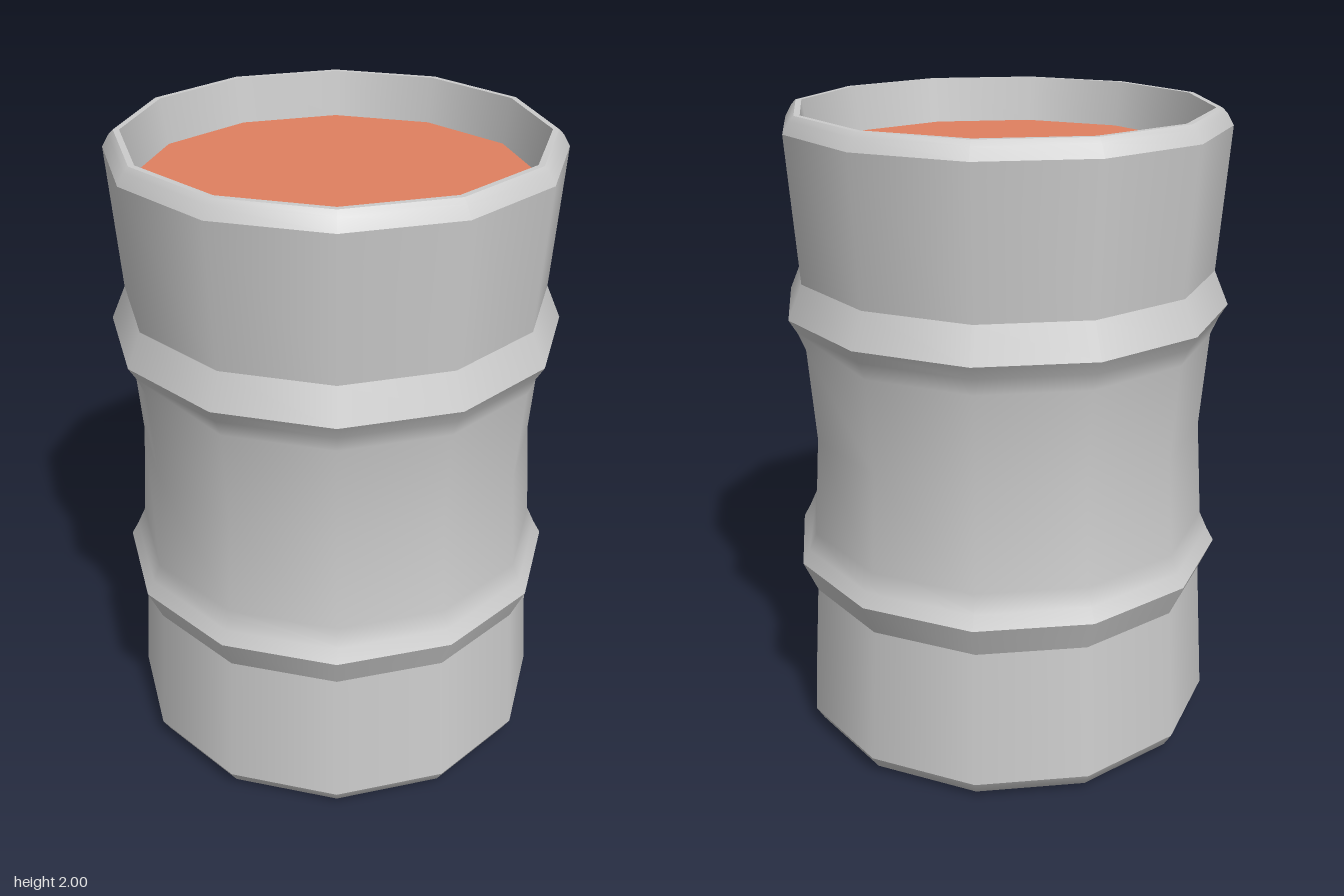
import * as THREE from 'three';
import { mergeGeometries } from 'three/addons/utils/BufferGeometryUtils.js';

const SIDES = 12;

// One smooth band turned from [radius, height] points; separate bands meet at a sharp edge
const band = (points) =>
  new THREE.LatheGeometry(points.map(([r, y]) => new THREE.Vector2(r, y)), SIDES);

export function createModel() {
  const group = new THREE.Group();
  const grey = new THREE.MeshStandardMaterial({ color: 0xcccccc });
  const orange = new THREE.MeshStandardMaterial({ color: 0xe08060 });
  const add = (name, bands, material) => {
    const mesh = new THREE.Mesh(mergeGeometries(bands.map(band)), material);
    mesh.name = name;
    group.add(mesh);
  };

  // Base disc and its bevel
  add('base', [
    [[0, 0], [0.62, 0]],
    [[0.62, 0], [0.65, 0.02], [0.675, 0.062]],
  ], grey);

  // Side wall: flared ends, two ridges and a narrow waist
  add('wall', [
    [[0.675, 0.062], [0.645, 0.5]],
    [[0.645, 0.5], [0.69, 0.603]],
    [[0.69, 0.603], [0.667, 0.645], [0.642, 0.7], [0.62, 1.01], [0.642, 1.31], [0.665, 1.365], [0.69, 1.407]],
    [[0.69, 1.407], [0.645, 1.512]],
    [[0.645, 1.512], [0.675, 1.95]],
  ], grey);

  // Bevelled rim and the wall inside it
  add('rim', [
    [[0.675, 1.95], [0.655, 1.985], [0.64, 2]],
    [[0.64, 2], [0.622, 2]],
    [[0.622, 2], [0.6, 1.86]],
  ], grey);

  // Recessed coloured lid
  add('lid', [[[0.6, 1.86], [0, 1.86]]], orange);

  return group;
}
